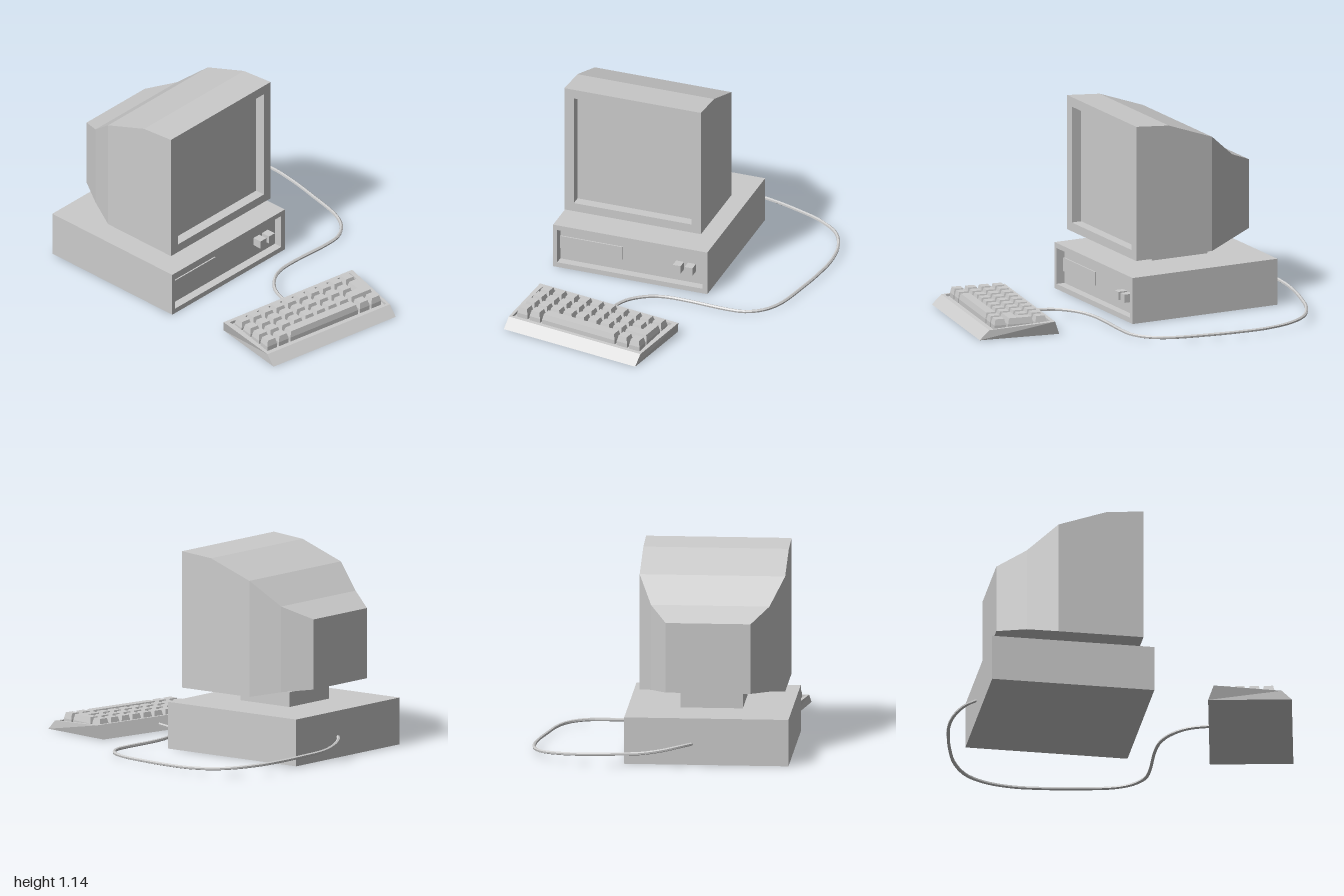
import * as THREE from 'three';

const grey = () => new THREE.MeshStandardMaterial({ color: 0xcccccc, flatShading: true, side: THREE.DoubleSide });

// Skin through equal-length loops of points, closed with a fan at both ends
function loft(loops) {
  const pos = [];
  const tri = (a, b, c) => pos.push(...a, ...b, ...c);
  for (let k = 0; k < loops.length - 1; k++) {
    const A = loops[k], B = loops[k + 1], n = A.length;
    for (let i = 0; i < n; i++) {
      const j = (i + 1) % n;
      tri(A[i], A[j], B[j]);
      tri(A[i], B[j], B[i]);
    }
  }
  const first = loops[0], last = loops[loops.length - 1];
  for (let i = 1; i < first.length - 1; i++) {
    tri(first[0], first[i + 1], first[i]);
    tri(last[0], last[i], last[i + 1]);
  }
  const g = new THREE.BufferGeometry();
  g.setAttribute('position', new THREE.Float32BufferAttribute(pos, 3));
  g.computeVertexNormals();
  return g;
}

// Upright rectangle facing +x
const rectX = (x, y0, y1, z0, z1) => [[x, y0, z0], [x, y1, z0], [x, y1, z1], [x, y0, z1]];

function add(parent, name, geometry) {
  const mesh = new THREE.Mesh(geometry, grey());
  mesh.name = name;
  parent.add(mesh);
  return mesh;
}

function addBox(parent, name, x0, x1, y0, y1, z0, z1) {
  const m = add(parent, name, new THREE.BoxGeometry(x1 - x0, y1 - y0, z1 - z0));
  m.position.set((x0 + x1) / 2, (y0 + y1) / 2, (z0 + z1) / 2);
  return m;
}

function buildKeyboard() {
  const kb = new THREE.Group();
  kb.name = 'keyboard';

  // Wedge-shaped case with a shallow well for the keys
  // level: back x, back y, back half length, then the same for the front
  const level = (xb, yb, hb, xf, yf, hf) =>
    [[xb, yb, -hb], [xb, yb, hb], [xf, yf, hf], [xf, yf, -hf]];
  add(kb, 'keyboardCase', loft([
    level(-0.238, 0, 0.434, 0.238, 0, 0.434),
    level(-0.206, 0.08, 0.457, 0.181, 0.055, 0.435),
    level(-0.185, 0.079, 0.427, 0.165, 0.056, 0.42),
    level(-0.185, 0.062, 0.427, 0.165, 0.042, 0.42),
  ]));

  // Tapered keys on a 4 x 10 grid
  const colX = c => -0.139 + 0.0815 * c;
  const rowZ = r => -0.37 + 0.0822 * r;
  const taper = outline => loft([[0.034, 0.035], [0.034, 0.07], [0.026, 0.105]]
    .map(([h, y]) => outline(h).map(([z, x]) => [x, y, z])));
  const key = (name, c, r0, r1 = r0) => add(kb, name, taper(h => [
    [rowZ(r0) - h, colX(c) - h], [rowZ(r1) + h, colX(c) - h],
    [rowZ(r1) + h, colX(c) + h], [rowZ(r0) - h, colX(c) + h],
  ]));
  for (let r = 0; r < 10; r++) {
    key('key', 0, r);
    if (r > 0) key('key', 1, r);
    if (r > 1) key('key', 2, r);
    if (r < 2 || r > 7) key('key', 3, r);
  }
  key('spaceBar', 3, 2, 7);

  // L-shaped key, its loop starting at the inner corner
  add(kb, 'enterKey', taper(h => [
    [rowZ(0) + h, colX(2) - h], [rowZ(1) + h, colX(2) - h],
    [rowZ(1) + h, colX(2) + h], [rowZ(0) - h, colX(2) + h],
    [rowZ(0) - h, colX(1) - h], [rowZ(0) + h, colX(1) - h],
  ]));

  kb.position.set(0.688, 0, 0.27);
  kb.rotation.y = -THREE.MathUtils.degToRad(10);
  return kb;
}

export function createModel() {
  const model = new THREE.Group();
  model.name = 'desktopComputer';

  // Monitor housing, narrowing to the back, with the screen set into the front
  const cz = 0.274;
  const section = (x, y0, y1, h) => rectX(x, y0, y1, cz - h, cz + h);
  add(model, 'monitor', loft([
    section(-0.82, 0.405, 0.81, 0.242),
    section(-0.66, 0.385, 0.88, 0.338),
    section(-0.49, 0.35, 1.02, 0.415),
    section(-0.21, 0.35, 1.12, 0.415),
    section(0, 0.35, 1.138, 0.415),
    section(0, 0.402, 1.082, 0.358),
    section(-0.06, 0.402, 1.082, 0.358),
  ]));

  addBox(model, 'monitorStand', -0.59, -0.23, 0.265, 0.355, 0.1, 0.455);

  // System unit with a recessed front panel
  add(model, 'systemUnit', loft([
    rectX(-0.88, 0, 0.27, -0.2, 0.737),
    rectX(0.055, 0, 0.27, -0.2, 0.737),
    rectX(0.055, 0.03, 0.24, -0.17, 0.712),
    rectX(0.005, 0.03, 0.24, -0.17, 0.712),
  ]));
  addBox(model, 'driveBay', 0, 0.013, 0.1, 0.18, 0.33, 0.712);
  for (const z of [-0.112, -0.04]) addBox(model, 'frontButton', 0, 0.06, 0.105, 0.153, z, z + 0.048);

  model.add(buildKeyboard());

  // Cable from the back of the system unit round to the keyboard
  const path = [
    [-0.87, 0.12, 0.19], [-0.93, 0.115, 0.12], [-0.975, 0.1, 0.02], [-0.99, 0.085, -0.1],
    [-0.97, 0.075, -0.25], [-0.94, 0.065, -0.38], [-0.89, 0.055, -0.53], [-0.8, 0.045, -0.66],
    [-0.68, 0.035, -0.72], [-0.52, 0.027, -0.738], [-0.35, 0.023, -0.722], [-0.2, 0.02, -0.695],
    [0.05, 0.018, -0.635], [0.15, 0.018, -0.57], [0.203, 0.018, -0.48], [0.212, 0.018, -0.38],
    [0.2, 0.02, -0.12], [0.21, 0.024, 0], [0.25, 0.03, 0.09], [0.34, 0.034, 0.185], [0.48, 0.036, 0.24],
  ].map(p => new THREE.Vector3(...p));
  add(model, 'cable', new THREE.TubeGeometry(new THREE.CatmullRomCurve3(path), 80, 0.01, 6));

  return model;
}
